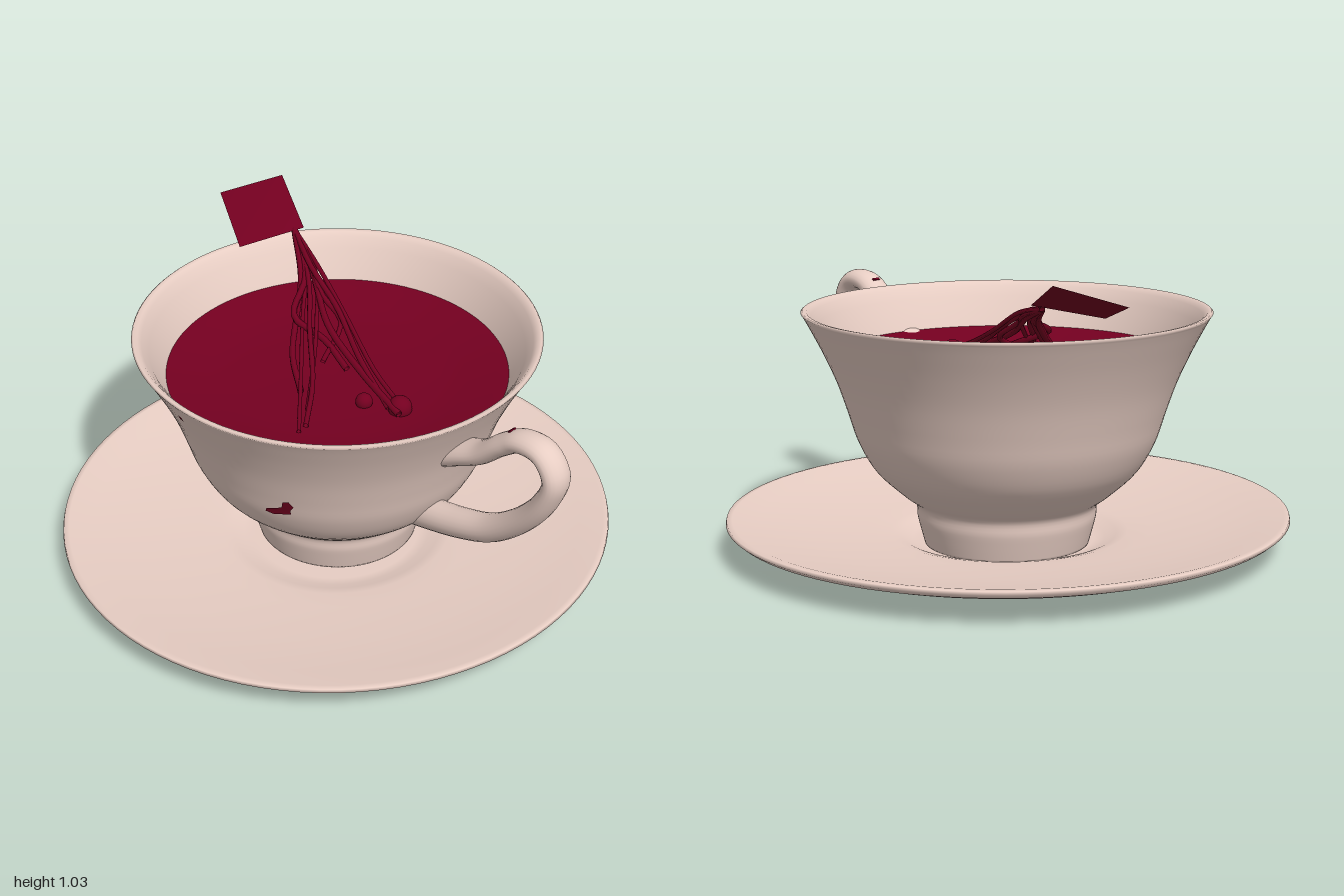
import * as THREE from 'three';

const porcelain = new THREE.MeshStandardMaterial({ color: 0xe8cec4 });
porcelain.name = 'porcelain';
const crimson = new THREE.MeshStandardMaterial({ color: 0x740020, side: THREE.DoubleSide });
crimson.name = 'crimson';

const CX = -0.06, CZ = -0.033; // cup axis

// Outer wall of the cup as [radius, height], foot to rim
const WALL = [[0.288, 0.018], [0.302, 0.07], [0.313, 0.115], [0.32, 0.165], [0.37, 0.205], [0.46, 0.29],
  [0.517, 0.39], [0.55, 0.49], [0.588, 0.6], [0.632, 0.7], [0.678, 0.79], [0.7, 0.83]];

const vec2 = (list) => list.map(([x, y]) => new THREE.Vector2(x, y));

function wallRadius(y) {
  const i = Math.max(1, WALL.findIndex((p) => p[1] >= y));
  const [r0, y0] = WALL[i - 1], [r1, y1] = WALL[i];
  return r0 + ((r1 - r0) * (y - y0)) / (y1 - y0);
}

function add(parent, name, geometry, material) {
  const mesh = new THREE.Mesh(geometry, material);
  mesh.name = name;
  parent.add(mesh);
  return mesh;
}

// Oval tube swept along a curve lying in an xy plane
function sweepOval(curve, thickness, width, steps = 80, sides = 20) {
  const pos = [], index = [];
  for (let i = 0; i <= steps; i++) {
    const u = i / steps, p = curve.getPoint(u), t = curve.getTangent(u);
    for (let j = 0; j < sides; j++) {
      const a = (j / sides) * Math.PI * 2;
      const n = Math.cos(a) * thickness(u);
      pos.push(p.x - t.y * n, p.y + t.x * n, p.z + Math.sin(a) * width(u));
      if (i < steps) {
        const k = (j + 1) % sides, b = i * sides, c = b + sides;
        index.push(b + j, b + k, c + j, b + k, c + k, c + j);
      }
    }
  }
  const g = new THREE.BufferGeometry();
  g.setAttribute('position', new THREE.Float32BufferAttribute(pos, 3));
  g.setIndex(index);
  g.computeVertexNormals();
  return g;
}

// Flat outline in (x, y) wrapped onto the front of the cup wall
function wrapOnCup(outline) {
  const g = new THREE.ShapeGeometry(new THREE.Shape(vec2(outline)));
  const p = g.attributes.position;
  for (let i = 0; i < p.count; i++) {
    const x = p.getX(i), r = wallRadius(p.getY(i)) + 0.007;
    p.setZ(i, CZ + Math.sqrt(r * r - (x - CX) ** 2));
  }
  g.computeVertexNormals();
  return g;
}

export function createModel() {
  const model = new THREE.Group();
  model.name = 'cupAndSaucer';

  // Saucer: shallow dish with a flat base and a well under the cup
  const saucer = add(model, 'saucer', new THREE.LatheGeometry(vec2([
    [0, 0], [0.45, 0], [0.55, 0.005], [0.75, 0.033], [0.9, 0.07], [0.97, 0.094], [0.987, 0.108],
    [0.984, 0.119], [0.965, 0.121], [0.88, 0.102], [0.7, 0.073], [0.5, 0.052], [0.42, 0.046],
    [0.38, 0.037], [0.34, 0.02], [0.3, 0.014], [0, 0.014]]), 96), porcelain);
  saucer.position.x = -0.029;
  saucer.scale.set(0.985, 1, 1.01);

  // Cup: smoothed outer wall, rounded rim, inner wall
  const cup = new THREE.Group();
  cup.name = 'cup';
  model.add(cup);
  const outer = new THREE.SplineCurve(vec2(WALL)).getPoints(48);
  const inner = vec2([[0.706, 0.838], [0.7, 0.843], [0.685, 0.84], [0.672, 0.825], [0.648, 0.79],
    [0.603, 0.7], [0.558, 0.6], [0.52, 0.49], [0.48, 0.39], [0.41, 0.29], [0.3, 0.21], [0, 0.19]]);
  const bowl = add(cup, 'bowl', new THREE.LatheGeometry(
    [new THREE.Vector2(0, 0.018), ...outer, ...inner], 96), porcelain);
  bowl.position.set(CX, 0, CZ);

  // Handle: ear-shaped loop whose ends sink into the bowl wall
  const ear = new THREE.CatmullRomCurve3([[0.495, 0.622], [0.572, 0.662], [0.655, 0.706], [0.745, 0.785],
    [0.82, 0.833], [0.91, 0.833], [0.962, 0.765], [0.93, 0.66], [0.84, 0.535], [0.71, 0.425],
    [0.57, 0.365], [0.44, 0.328], [0.34, 0.305]].map(([x, y]) => new THREE.Vector3(x, y, -0.018)));
  const thick = (u) => 0.037 + 0.009 * Math.max(0, 1 - u * 5) + 0.024 * Math.max(0, (u - 0.55) / 0.45);
  const wide = (u) => 0.052 + 0.024 * Math.max(0, 1 - u * 3.5) + 0.006 * u;
  add(cup, 'handle', sweepOval(ear, thick, wide), porcelain);

  // Drink: surface dips gently towards the middle
  const drink = add(model, 'drink', new THREE.LatheGeometry(vec2([
    [0.597, 0.684], [0.55, 0.676], [0.45, 0.655], [0.36, 0.642], [0.2, 0.637], [0, 0.636]]), 96), crimson);
  drink.position.set(CX, 0, CZ);

  // Tag hanging over the rim
  const tag = new THREE.BufferGeometry();
  tag.setAttribute('position', new THREE.Float32BufferAttribute([
    -0.765, 1.03, -0.405, -0.91, 0.965, -0.225, -0.655, 0.887, -0.1, -0.54, 0.935, -0.31], 3));
  tag.setIndex([0, 1, 2, 0, 2, 3]);
  tag.computeVertexNormals();
  add(model, 'tag', tag, crimson);

  // Tangled strands from the tag down to the drink
  const strands = new THREE.Group();
  strands.name = 'strands';
  model.add(strands);
  const start = [-0.57, 0.925, -0.29];
  [
    [[-0.36, 0.88, -0.22], [-0.15, 0.79, -0.16], [0.08, 0.71, -0.08], [0.24, 0.66, -0.05]],
    [[-0.38, 0.885, -0.2], [-0.2, 0.81, -0.16], [0.0, 0.73, -0.08], [0.22, 0.66, -0.01]],
    [[-0.37, 0.86, -0.2], [-0.17, 0.78, -0.09], [0.03, 0.71, -0.05], [0.27, 0.66, -0.01]],
    [[-0.4, 0.86, -0.19], [-0.27, 0.78, -0.06], [-0.08, 0.7, 0.12], [0.11, 0.655, 0.3]],
    [[-0.36, 0.85, -0.17], [-0.2, 0.77, -0.03], [-0.02, 0.7, 0.12], [0.1, 0.655, 0.26]],
    [[-0.39, 0.85, -0.16], [-0.3, 0.78, -0.06], [-0.19, 0.71, 0.06], [-0.07, 0.65, 0.13]],
    [[-0.35, 0.86, -0.2], [-0.24, 0.79, -0.1], [-0.12, 0.73, 0.02], [0.04, 0.66, 0.2]],
    [[-0.42, 0.89, -0.23], [-0.28, 0.83, -0.16], [-0.17, 0.77, -0.15], [-0.1, 0.7, 0.0]],
    [[-0.38, 0.85, -0.17], [-0.28, 0.79, -0.03], [-0.16, 0.74, -0.06], [-0.02, 0.69, -0.04]],
  ].forEach((path, i) => {
    const curve = new THREE.CatmullRomCurve3([start, ...path].map((p) => new THREE.Vector3(...p)));
    add(strands, 'strand', new THREE.TubeGeometry(curve, 24, 0.008 + 0.002 * (i % 3), 6), crimson);
  });

  // Beads floating at the strand ends
  [[0.235, -0.05, 0.042], [0.12, 0.01, 0.03]].forEach(([x, z, r]) => {
    add(model, 'bead', new THREE.SphereGeometry(r, 20, 14), crimson)
      .position.set(x, 0.636 + r * 0.4, z);
  });

  // Painted drips on the bowl and handle
  add(cup, 'bowlDrip', wrapOnCup([[0.125, 0.42], [0.15, 0.414], [0.212, 0.432], [0.218, 0.455],
    [0.232, 0.475], [0.224, 0.5], [0.203, 0.492], [0.192, 0.463], [0.16, 0.447], [0.135, 0.438]]), crimson);
  add(cup, 'smallBowlDrip', wrapOnCup([[-0.088, 0.766], [-0.072, 0.763], [-0.069, 0.785], [-0.086, 0.788]]), crimson);
  const u = 0.3, spot = ear.getPoint(u), dir = ear.getTangent(u), lift = thick(u) + 0.001;
  const handleDrip = add(cup, 'handleDrip', new THREE.BoxGeometry(0.01, 0.005, 0.028), crimson);
  handleDrip.position.set(spot.x - dir.y * lift, spot.y + dir.x * lift, spot.z);
  handleDrip.rotation.z = Math.atan2(dir.y, dir.x);

  return model;
}
